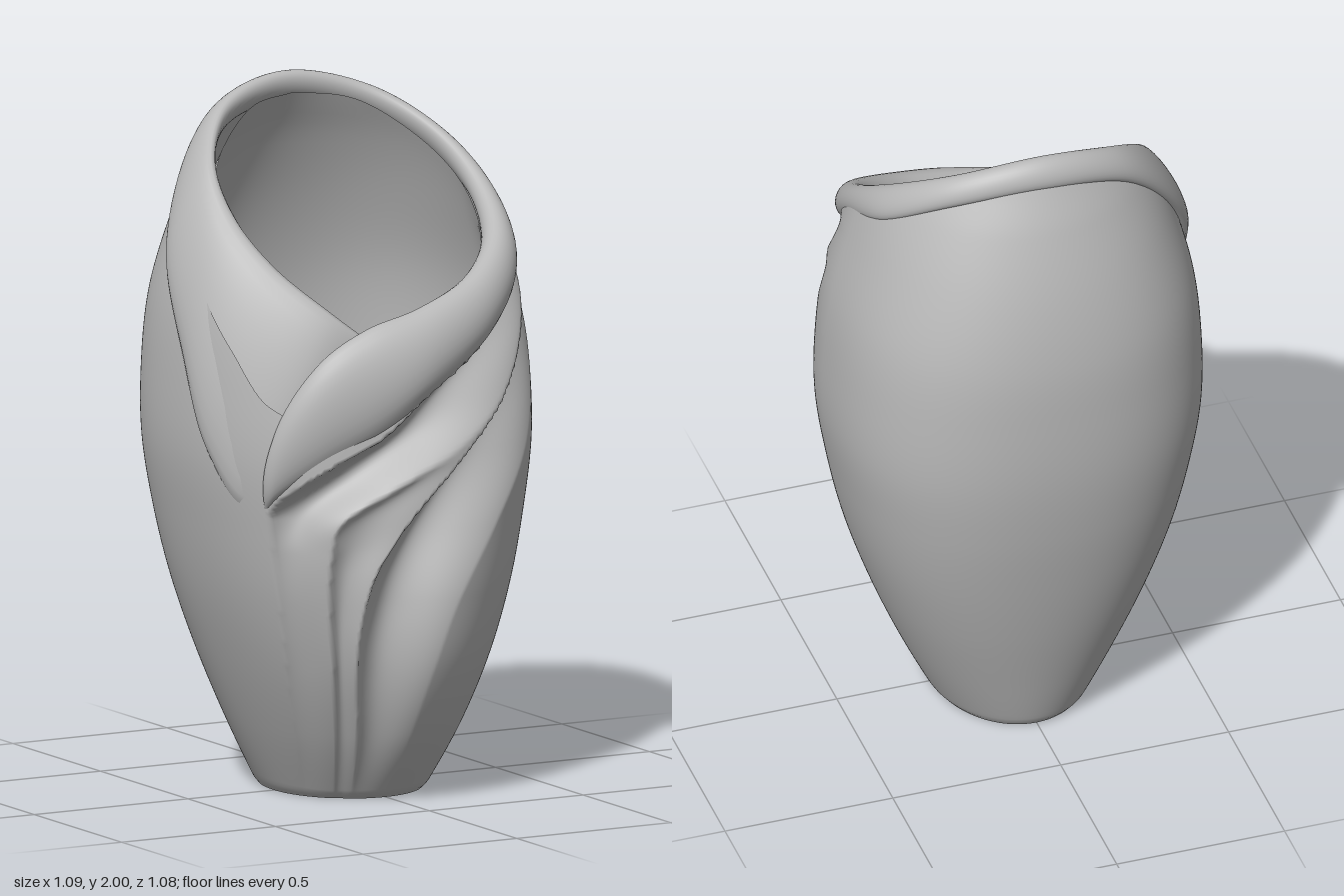
import * as THREE from 'three';

const clay = new THREE.MeshStandardMaterial({ color: 0xb8b8b8, side: THREE.DoubleSide });
clay.name = 'grey clay';

// smooth interpolation through [position, value] knots
function through(knots) {
  const n = knots.length;
  const slope = knots.map((k, i) => {
    const a = knots[Math.max(0, i - 1)], b = knots[Math.min(n - 1, i + 1)];
    return (b[1] - a[1]) / (b[0] - a[0]);
  });
  return (p) => {
    if (p <= knots[0][0]) return knots[0][1];
    if (p >= knots[n - 1][0]) return knots[n - 1][1];
    let i = 0;
    while (p > knots[i + 1][0]) i++;
    const h = knots[i + 1][0] - knots[i][0], t = (p - knots[i][0]) / h, s = 1 - t;
    return s * s * (1 + 2 * t) * knots[i][1] + t * t * (3 - 2 * t) * knots[i + 1][1]
      + h * t * s * (s * slope[i] - t * slope[i + 1]);
  };
}

// smooth surface from a rule; wrapU / wrapV close it without a seam
function surface(name, nu, nv, wrapU, wrapV, rule) {
  const cu = wrapU ? nu : nu + 1, cv = wrapV ? nv : nv + 1, pos = [], index = [];
  for (let j = 0; j < cv; j++) for (let i = 0; i < cu; i++) pos.push(...rule(i / nu, j / nv));
  for (let j = 0; j < nv; j++) for (let i = 0; i < nu; i++) {
    const i1 = (i + 1) % cu, j1 = (j + 1) % cv;
    const a = j * cu + i, b = j * cu + i1, c = j1 * cu + i1, d = j1 * cu + i;
    index.push(a, b, c, a, c, d);
  }
  const g = new THREE.BufferGeometry();
  g.setAttribute('position', new THREE.Float32BufferAttribute(pos, 3));
  g.setIndex(index);
  g.computeVertexNormals();
  const mesh = new THREE.Mesh(g, clay);
  mesh.name = name;
  return mesh;
}

// body reach to the sides, front and back at each height
const side = through([[0, 0.22], [0.02, 0.235], [0.2, 0.32], [0.4, 0.4], [0.6, 0.465], [0.8, 0.51], [1, 0.54],
  [1.2, 0.54], [1.4, 0.52], [1.6, 0.47], [1.8, 0.405], [2, 0.31]]);
const front = through([[0, 0.25], [0.02, 0.275], [0.2, 0.395], [0.4, 0.48], [0.6, 0.515], [0.8, 0.525],
  [1, 0.525], [1.2, 0.5], [1.4, 0.46], [1.6, 0.4], [2, 0.3]]);
const back = through([[0, 0.285], [0.02, 0.3], [0.2, 0.36], [0.4, 0.42], [0.6, 0.47], [0.8, 0.51], [1, 0.535],
  [1.2, 0.54], [1.4, 0.53], [1.6, 0.49], [1.8, 0.42], [1.92, 0.36], [2, 0.32]]);
// fullness of the rounded corners at each height
const fullness = through([[0, 0], [0.4, 0.04], [0.8, 0.06], [1.4, 0.06], [1.65, 0.04], [1.9, 0]]);

// height of the wall around the vase, in degrees from the front
const wallTop = through([[-180, 1.94], [-140, 1.9], [-105, 1.71], [-82, 1.5], [-62, 1.32], [-50, 1.18], [-36, 1.14],
  [-18, 1.22], [0, 1.3], [27, 1.4], [53, 1.53], [77, 1.66], [107, 1.8], [140, 1.91], [180, 1.94]]);

// crests of the draped folds: x at each height
const crests = [
  through([[0, -0.2], [0.4, -0.34], [0.85, -0.43], [0.92, -0.4], [1, -0.3], [1.08, -0.15], [1.19, 0],
    [1.32, 0.22], [1.47, 0.38], [1.6, 0.44]]),
  through([[0, -0.14], [0.2, -0.2], [0.4, -0.25], [0.6, -0.285], [0.75, -0.29], [0.85, -0.26], [0.95, -0.08],
    [1.05, 0.12], [1.15, 0.265], [1.3, 0.39], [1.45, 0.465], [1.6, 0.475]]),
  through([[0, -0.1], [0.2, -0.15], [0.4, -0.195], [0.55, -0.2], [0.7, -0.165], [0.85, -0.06], [1, 0.1],
    [1.15, 0.28], [1.3, 0.4], [1.45, 0.47], [1.6, 0.48]]),
  through([[0, 0], [0.2, 0], [0.4, 0.03], [0.6, 0.1], [0.8, 0.24], [1, 0.4], [1.2, 0.48], [1.4, 0.51], [1.6, 0.51]]),
];
// depth of the hollow to the right of each crest
const hollows = [
  through([[0, 0], [0.4, 0.015], [0.75, 0.025], [0.95, 0.07], [1.2, 0.07], [1.4, 0.045], [1.6, 0]]),
  through([[0, 0.01], [0.3, 0.025], [0.7, 0.03], [0.85, 0.02], [1, 0]]),
  through([[0, 0], [0.2, 0.035], [0.6, 0.08], [0.9, 0.09], [1.2, 0.05], [1.45, 0]]),
];

function foldDepth(x, y) {
  for (let i = 0; i < 3; i++) {
    const a = crests[i](y), b = crests[i + 1](y);
    if (x > a && x < b) {
      const s = Math.pow((x - a) / (b - a), 0.7);
      return hollows[i](y) * Math.sin(Math.PI * s) * (1 - 0.6 * s * s) * 1.25;
    }
  }
  return 0;
}

function wallPoint(u, y, scale) {
  const a = (u * 2 - 1) * Math.PI, c = Math.cos(a);
  const corner = a > 0 && a < Math.PI / 2 ? 1 : 1 + fullness(y) * Math.sin(2 * a) ** 2;
  const x = side(y) * Math.sin(a) * corner, z = (c > 0 ? front(y) : back(y)) * c * corner;
  const k = scale * (1 - (c > 0 ? foldDepth(x, y) / 0.5 : 0));
  return [x * k, y, z * k];
}

// rolled lip: upper inner edge, lower outer edge, half thickness at each station
const lip = [
  [-0.435, 0.93, 0.33, -0.43, 0.86, 0.33, 0.012],
  [-0.42, 1.12, 0.37, -0.425, 0.9, 0.355, 0.035],
  [-0.31, 1.3, 0.42, -0.3, 1.0, 0.43, 0.055],
  [-0.17, 1.385, 0.435, -0.15, 1.085, 0.48, 0.065],
  [0, 1.43, 0.43, 0, 1.19, 0.49, 0.068],
  [0.2, 1.5, 0.37, 0.22, 1.32, 0.42, 0.06],
  [0.34, 1.6, 0.25, 0.38, 1.46, 0.28, 0.05],
  [0.395, 1.72, 0.08, 0.425, 1.62, 0.09, 0.035],
  [0.355, 1.84, -0.1, 0.4, 1.75, -0.14, 0.03],
  [0.22, 1.945, -0.25, 0.25, 1.865, -0.29, 0.03],
  [0, 1.995, -0.305, 0, 1.91, -0.35, 0.032],
  [-0.22, 1.94, -0.25, -0.27, 1.84, -0.3, 0.032],
  [-0.36, 1.81, -0.1, -0.485, 1.56, -0.14, 0.035],
  [-0.38, 1.67, 0.05, -0.53, 1.26, 0.04, 0.06],
  [-0.33, 1.54, 0.2, -0.525, 1.02, 0.16, 0.068],
  [-0.22, 1.42, 0.33, -0.46, 0.87, 0.27, 0.06],
  [-0.1, 1.32, 0.38, -0.36, 0.98, 0.33, 0.025],
];

export function createModel() {
  const vase = new THREE.Group();
  vase.name = 'draped vase';
  const top = (u) => wallTop((u * 2 - 1) * 180);

  // outer wall with folds, and the hollow inside with a soft ridge behind them
  vase.add(surface('outerWall', 360, 130, true, false, (u, v) => wallPoint(u, v * top(u), 1)));
  const innerScale = (u, y) => 1 - 0.068 / side(y) - 0.1 * Math.exp(-(((u * 360 - 152) / 16) ** 2));
  vase.add(surface('innerWall', 120, 60, true, false, (u, v) => {
    const y = 0.05 + (1 - v) * (top(u) - 0.05);
    return wallPoint(u, y, innerScale(u, y));
  }));

  // underside and inner floor
  vase.add(surface('base', 96, 2, true, false, (u, v) => wallPoint(u, 0, Math.max(v, 0.001))));
  vase.add(surface('innerFloor', 120, 2, true, false,
    (u, v) => wallPoint(u, 0.05, innerScale(u, 0.05) * Math.max(1 - v, 0.001))));

  // lip that circles the opening and crosses over itself in front
  const upper = new THREE.CatmullRomCurve3(lip.map((s) => new THREE.Vector3(s[0], s[1], s[2])));
  const lower = new THREE.CatmullRomCurve3(lip.map((s) => new THREE.Vector3(s[3], s[4], s[5])));
  const thickness = through(lip.map((s, i) => [i / (lip.length - 1), s[6]]));
  const middle = (t) => upper.getPoint(t).add(lower.getPoint(t)).multiplyScalar(0.5);
  vase.add(surface('rolledLip', 180, 28, false, true, (u, v) => {
    const along = middle(Math.min(1, u + 0.005)).sub(middle(Math.max(0, u - 0.005)));
    const up = upper.getPoint(u).sub(lower.getPoint(u)).multiplyScalar(0.5);
    const out = along.cross(up).setLength(thickness(u));
    const w = v * Math.PI * 2;
    return middle(u).addScaledVector(up, Math.sin(w)).addScaledVector(out, Math.cos(w)).toArray();
  }));
  return vase;
}
